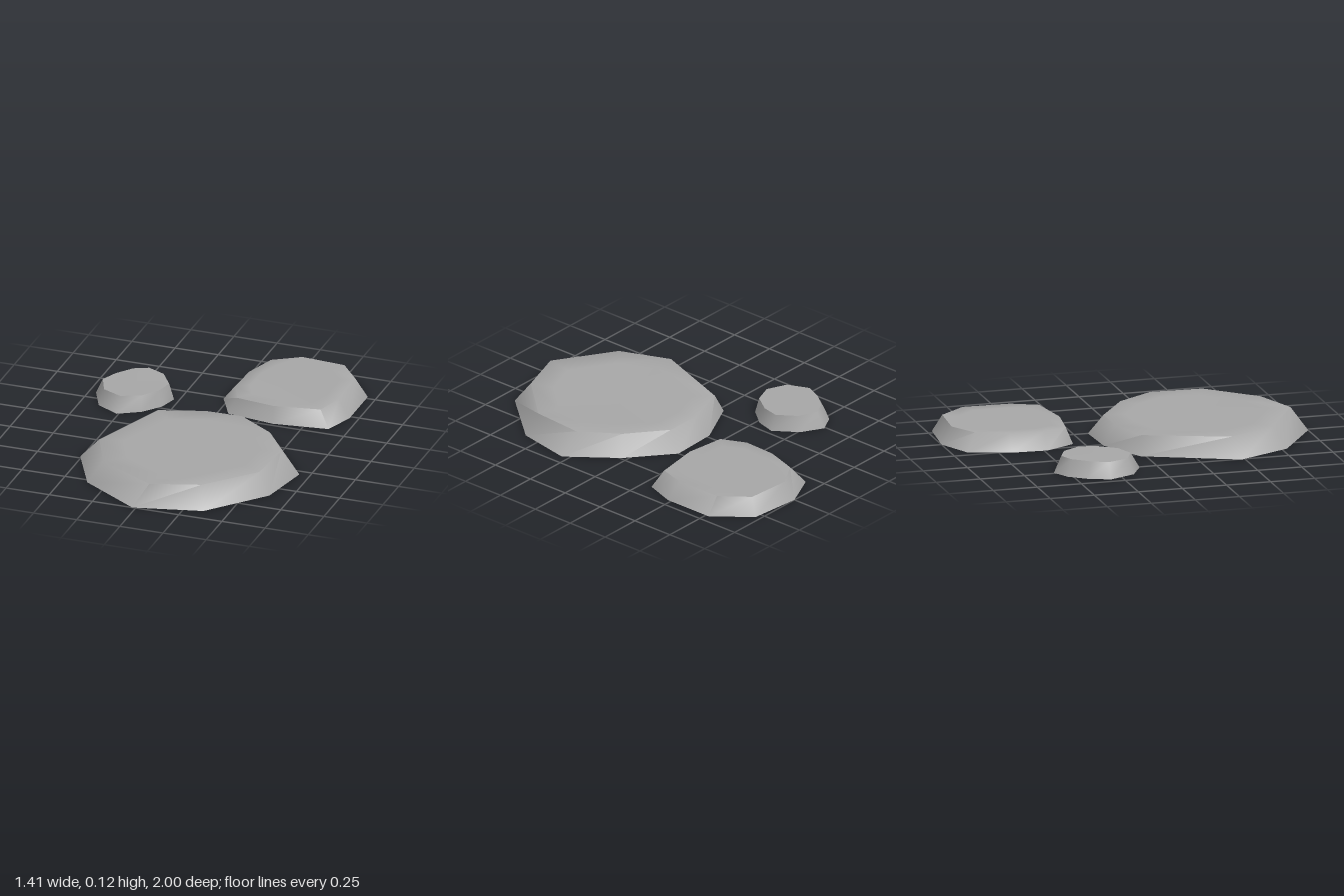
import * as THREE from 'three';
import { toCreasedNormals } from 'three/addons/utils/BufferGeometryUtils.js';

// Flat stone lofted from a ground outline [x, z] and a smaller top rim [x, y, z],
// both listed counter-clockwise seen from above.
function stoneGeometry(base, rim) {
  const n = base.length;
  const mean = k => rim.reduce((s, p) => s + p[k], 0) / n;
  const centre = [mean(0), mean(1), mean(2)];
  const ground = base.map(([x, z]) => [x, 0, z]);
  const inner = rim.map(p => p.map((v, k) => centre[k] + (v - centre[k]) * 0.75));
  const pos = [];
  const tri = (...pts) => pts.forEach(p => pos.push(...p));
  for (let i = 0; i < n; i++) {
    const j = (i + 1) % n;
    // sloping side, top border, top centre, underside
    for (const [low, high] of [[ground, rim], [rim, inner]]) {
      tri(low[i], low[j], high[j]);
      tri(low[i], high[j], high[i]);
    }
    tri(inner[i], inner[j], centre);
    tri(ground[j], ground[i], [centre[0], 0, centre[2]]);
  }
  const geo = new THREE.BufferGeometry();
  geo.setAttribute('position', new THREE.Float32BufferAttribute(pos, 3));
  // steep rims stay sharp, gentle ones are rounded
  return toCreasedNormals(geo, THREE.MathUtils.degToRad(57));
}

const stones = {
  largeStone: {
    base: [[-0.51, 0.48], [-0.36, 0.78], [-0.02, 1.0], [0.36, 0.91], [0.63, 0.6],
      [0.69, 0.29], [0.49, 0.03], [0.25, -0.17], [-0.02, -0.16], [-0.29, -0.03]],
    rim: [[-0.41, 0.105, 0.45], [-0.29, 0.11, 0.72], [0.05, 0.118, 0.92], [0.32, 0.116, 0.83], [0.56, 0.117, 0.57],
      [0.58, 0.115, 0.28], [0.44, 0.115, 0.07], [0.22, 0.107, -0.09], [0.01, 0.105, -0.09], [-0.24, 0.105, -0.01]],
  },
  mediumStone: {
    base: [[-0.03, -0.48], [0.06, -0.31], [0.33, -0.27], [0.64, -0.31], [0.7, -0.48],
      [0.7, -0.77], [0.54, -0.97], [0.25, -1.0], [0.05, -0.91], [-0.02, -0.68]],
    rim: [[0.04, 0.09, -0.48], [0.1, 0.088, -0.34], [0.32, 0.088, -0.31], [0.58, 0.09, -0.35], [0.63, 0.095, -0.5],
      [0.63, 0.097, -0.77], [0.51, 0.095, -0.92], [0.26, 0.095, -0.94], [0.11, 0.093, -0.85], [0.05, 0.092, -0.67]],
  },
  smallStone: {
    base: [[-0.71, -0.32], [-0.64, -0.17], [-0.51, -0.1], [-0.39, -0.17], [-0.31, -0.27],
      [-0.28, -0.38], [-0.37, -0.51], [-0.49, -0.58], [-0.59, -0.53], [-0.66, -0.44]],
    rim: [[-0.67, 0.087, -0.32], [-0.62, 0.086, -0.2], [-0.51, 0.086, -0.15], [-0.4, 0.087, -0.19], [-0.33, 0.088, -0.29],
      [-0.31, 0.088, -0.385], [-0.38, 0.089, -0.49], [-0.48, 0.09, -0.535], [-0.56, 0.089, -0.5], [-0.63, 0.088, -0.41]],
  },
};

export function createModel() {
  const group = new THREE.Group();
  group.name = 'steppingStones';
  const stone = new THREE.MeshStandardMaterial({ color: 0xa6a6a6 });
  stone.name = 'grey stone';
  for (const [name, { base, rim }] of Object.entries(stones)) {
    const mesh = new THREE.Mesh(stoneGeometry(base, rim), stone);
    mesh.name = name;
    group.add(mesh);
  }
  return group;
}
